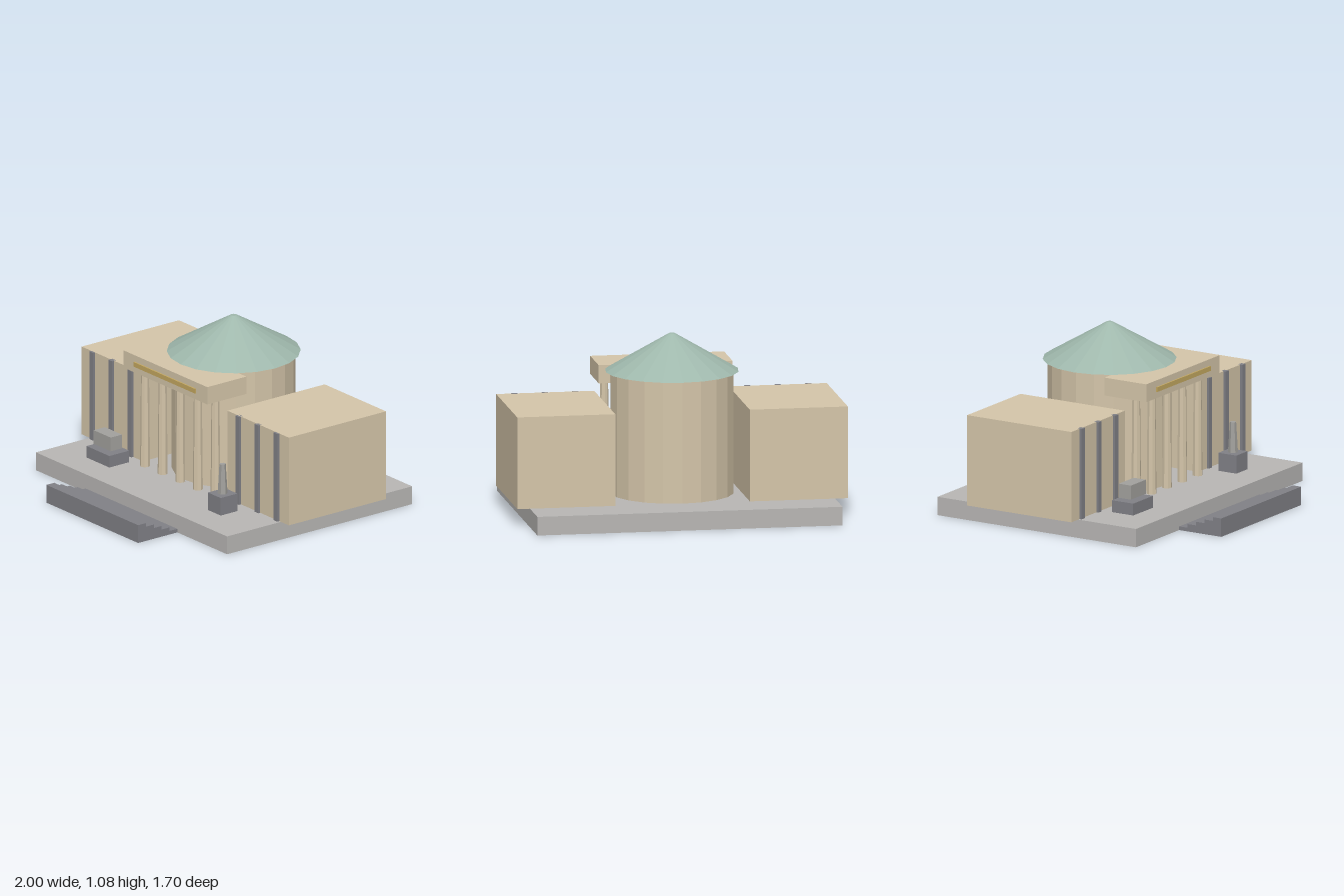
import * as THREE from 'three';

const mat = (color) => new THREE.MeshStandardMaterial({ color, flatShading: true });

export function createModel() {
  const model = new THREE.Group();
  const sand = mat(0xd4c5a9), stone = mat(0xb8b6b4), dark = mat(0x808086);
  const copper = mat(0x9fb8ac), gold = mat(0xc4a860), grey = mat(0xa2a19d);

  const add = (name, geometry, material, x, y, z) => {
    const mesh = new THREE.Mesh(geometry, material);
    mesh.name = name;
    mesh.position.set(x, y, z);
    model.add(mesh);
    return mesh;
  };
  // Box given by its limits along each axis
  const box = (name, material, x0, x1, y0, y1, z0, z1) =>
    add(name, new THREE.BoxGeometry(x1 - x0, y1 - y0, z1 - z0), material,
      (x0 + x1) / 2, (y0 + y1) / 2, (z0 + z1) / 2);
  // Tapered cylinder standing on y0
  const drum = (name, material, rTop, rBottom, sides, x, y0, y1, z) =>
    add(name, new THREE.CylinderGeometry(rTop, rBottom, y1 - y0, sides), material,
      x, (y0 + y1) / 2, z);

  // Terrace slab
  const floor = 0.113;
  box('terrace', stone, -0.923, 0.923, 0, floor, -0.85, 0.553);

  // Steps, rising away from the terrace
  for (let i = 0; i < 5; i++) {
    const z = 0.553 + i * 0.0594;
    box('step', dark, -0.443, 0.443, 0, floor * (i + 1) / 5, z, z + 0.0594);
  }

  // Side wings with dark pilasters
  for (const side of [-1, 1]) {
    const inner = 0.407 * side, outer = side;
    box('wing', sand, Math.min(inner, outer), Math.max(inner, outer), floor, 0.67, -0.592, 0.145);
    for (const px of [0.52, 0.705, 0.89]) {
      box('pilaster', dark, side * px - 0.018, side * px + 0.018, floor, 0.67, 0.13, 0.16);
    }
  }

  // Rotunda and conical roof
  drum('rotunda', sand, 0.37, 0.37, 20, 0, floor, 0.853, -0.222);
  drum('roof', copper, 0.018, 0.4, 20, 0, 0.853, 1.078, -0.222);

  // Portico: entablature, gilded band and columns
  box('entablature', sand, -0.405, 0.405, 0.743, 0.853, 0, 0.296);
  box('frieze band', gold, -0.296, 0.296, 0.783, 0.812, 0.29, 0.305);
  for (let i = -2; i <= 2; i++) {
    drum('column', sand, 0.024, 0.03, 8, i * 0.17, floor, 0.743, 0.183);
  }

  // Low monument on the right
  box('monument plinth', dark, -0.666, -0.446, floor, 0.186, 0.22, 0.37);
  box('monument block', grey, -0.64, -0.475, 0.2, 0.287, 0.252, 0.337);

  // Statue on a pedestal on the left
  box('statue pedestal', dark, 0.492, 0.616, floor, 0.224, 0.233, 0.36);
  drum('statue', grey, 0.019, 0.03, 6, 0.554, 0.224, 0.41, 0.297).rotation.y = Math.PI / 6;

  return model;
}
